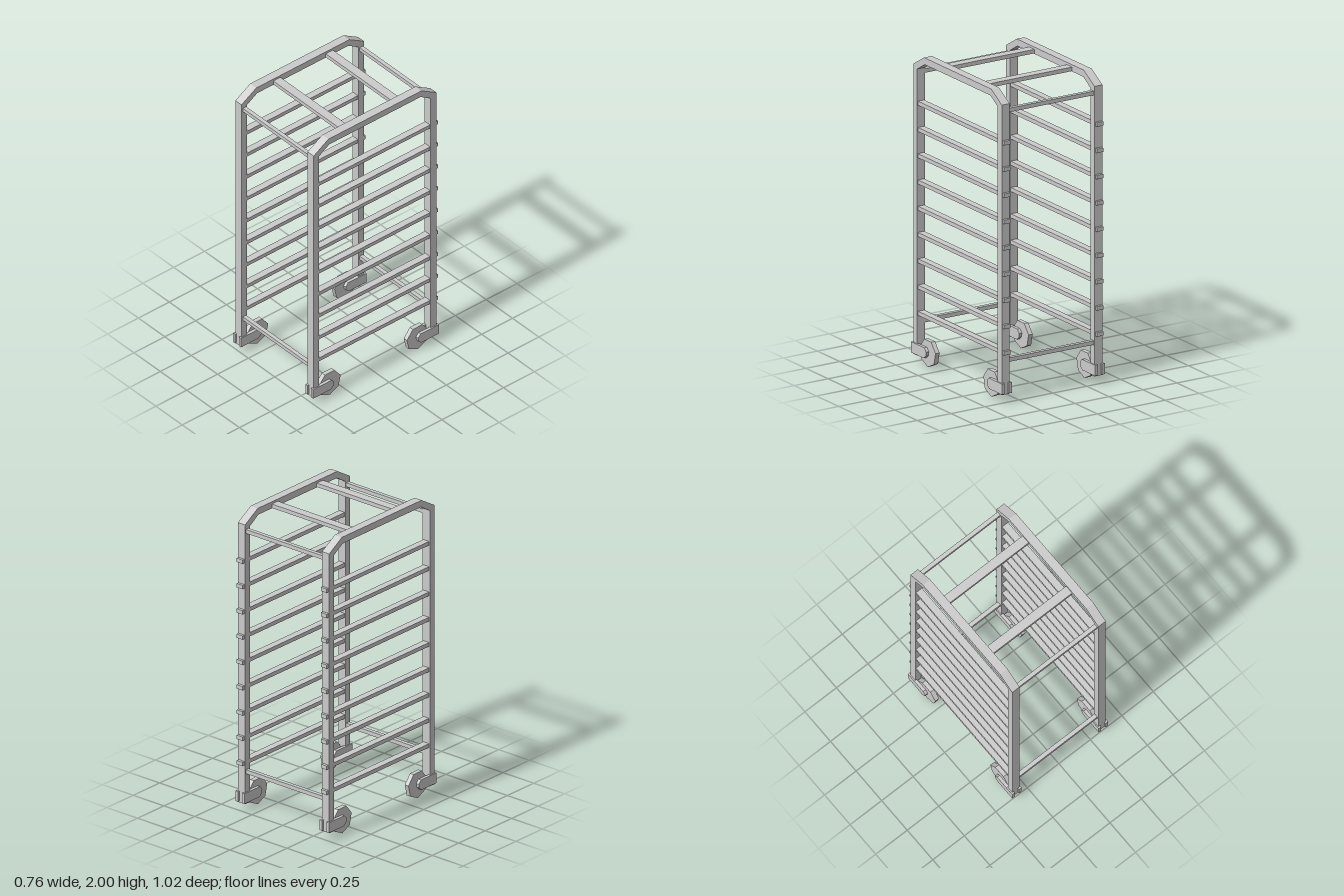
import * as THREE from 'three';

const material = new THREE.MeshStandardMaterial({ color: 0xcccccc, flatShading: true });

function add(parent, name, geometry) {
  const mesh = new THREE.Mesh(geometry, material);
  mesh.name = name;
  parent.add(mesh);
  return mesh;
}

// Box given by its centre and size
function box(parent, name, x, y, z, w, h, d) {
  add(parent, name, new THREE.BoxGeometry(w, h, d)).position.set(x, y, z);
}

// Outline of [z, y] points, extruded along x and centred on the given x
function sidePlate(parent, name, points, x, width) {
  const shape = new THREE.Shape(points.map(([z, y]) => new THREE.Vector2(z, y)));
  const geometry = new THREE.ExtrudeGeometry(shape, { depth: width, bevelEnabled: false });
  geometry.translate(0, 0, -width / 2).rotateY(-Math.PI / 2);
  add(parent, name, geometry).position.x = x;
}

// Caster: seven-sided wheel held between two cheek plates
function addCaster(parent, side, end) {
  const caster = new THREE.Group();
  caster.name = 'caster';
  const x = side * 0.343;
  const wheelZ = end > 0 ? 0.36 : -0.353;
  const wheel = [];
  for (let i = 0; i < 7; i++) {
    const a = -Math.PI / 2 + (i * Math.PI * 2) / 7;
    wheel.push([wheelZ + 0.09 * Math.cos(a), 0.09 + 0.09 * Math.sin(a)]);
  }
  sidePlate(caster, 'wheel', wheel, x, 0.03);

  const cheek = [
    [0.153, 0.058], [0.153, 0.127], [0.005, 0.127],
    [-0.016, 0.104], [-0.012, 0.078], [0.01, 0.058],
  ].map(([z, y]) => [wheelZ + end * z, y]);
  for (const s of [-1, 1]) sidePlate(caster, 'casterCheek', cheek, x + s * 0.027, 0.02);
  parent.add(caster);
}

export function createModel() {
  const model = new THREE.Group();
  model.name = 'trayRackTrolley';

  // Inverted U side frame with chamfered upper corners
  const frame = [
    [0.502, 0.05], [0.502, 1.928], [0.382, 2], [-0.372, 2], [-0.492, 1.928], [-0.492, 0.05],
    [-0.446, 0.05], [-0.446, 1.905], [-0.365, 1.956], [0.375, 1.956], [0.458, 1.905], [0.458, 0.05],
  ];

  for (const side of [-1, 1]) {
    const group = new THREE.Group();
    group.name = side > 0 ? 'leftSide' : 'rightSide';
    sidePlate(group, 'sideFrame', frame, side * 0.342, 0.058);

    // Tray rails, poking out behind the rear post
    for (let i = 0; i < 9; i++) {
      box(group, 'trayRail', side * 0.342, 0.323 + i * 0.17, -0.0175, 0.047, 0.026, 0.985);
    }
    for (const end of [-1, 1]) addCaster(group, side, end);
    model.add(group);
  }

  // Cross bars joining the posts, low and high at front and rear
  for (const z of [0.477, -0.47]) {
    box(model, 'lowerCrossBar', 0, 0.266, z, 0.64, 0.026, 0.027);
    box(model, 'upperCrossBar', 0, 1.882, z, 0.64, 0.026, 0.027);
  }

  // Wide flat bars across the top
  for (const z of [0.215, -0.21]) box(model, 'topCrossBar', 0, 1.972, z, 0.64, 0.026, 0.059);

  return model;
}
